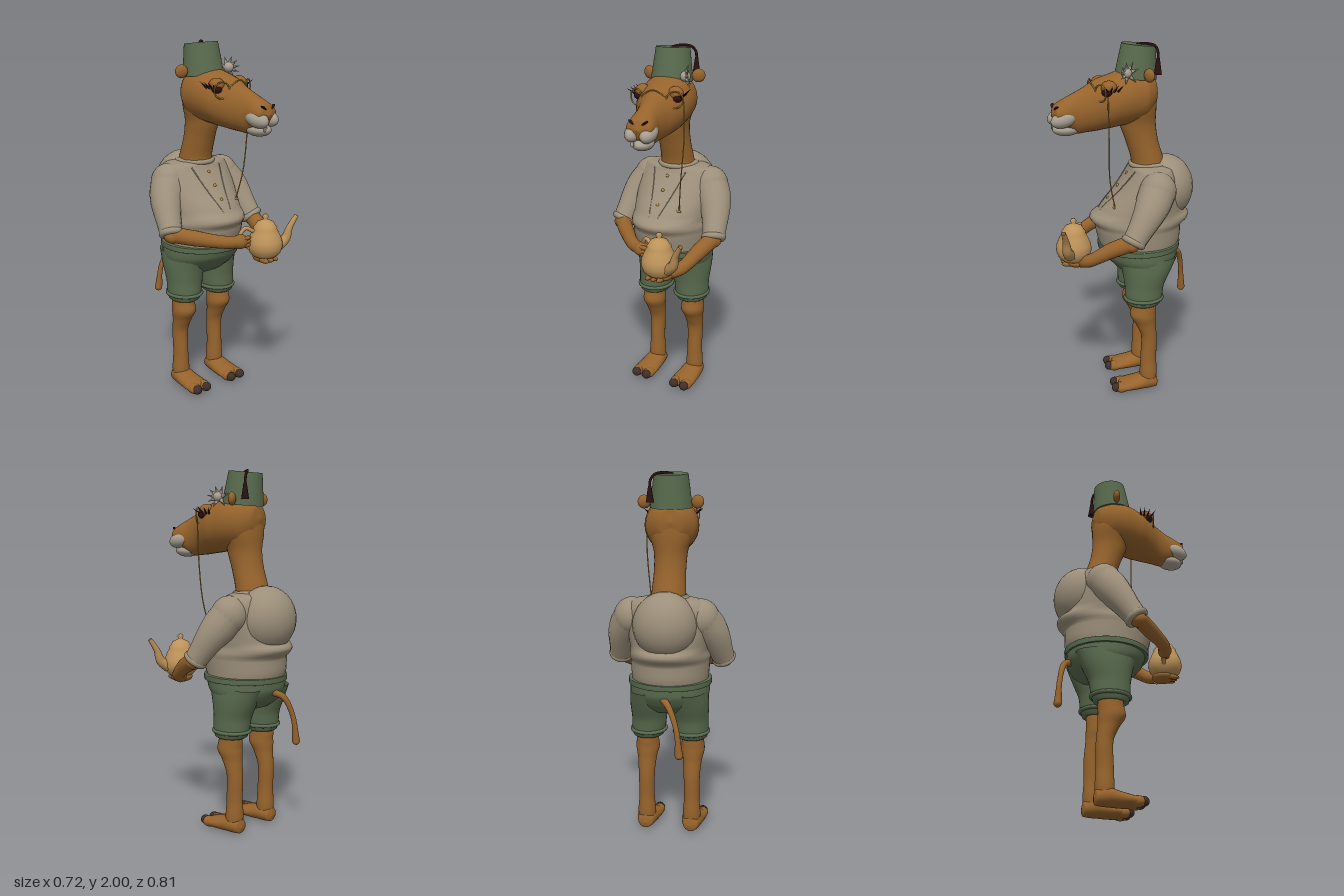
import * as THREE from 'three';

const V = (p) => new THREE.Vector3(...p);
const paint = (name, color, side = THREE.FrontSide) => {
  const m = new THREE.MeshStandardMaterial({ color, side });
  m.name = name;
  return m;
};

// Smooth body through elliptical rings [t, a, b, ra, rb].
// axis 'y': rings at (a, t, b); axis 'z': rings at (a, b, t)
function loft(rings, axis = 'y', seg = 32, steps = 6) {
  const path = new THREE.CatmullRomCurve3(rings.map((r) => V([r[1], r[0], r[2]])));
  const size = new THREE.CatmullRomCurve3(rings.map((r) => V([r[3], r[4], 0])));
  const n = (rings.length - 1) * steps, pos = [], idx = [];
  for (let i = 0; i <= n; i++) {
    const c = path.getPoint(i / n), s = size.getPoint(i / n);
    for (let j = 0; j < seg; j++) {
      const t = (j / seg) * Math.PI * 2;
      const a = c.x + Math.max(s.x, 0) * Math.cos(t), b = c.z + Math.max(s.y, 0) * Math.sin(t);
      if (axis === 'y') pos.push(a, c.y, b); else pos.push(a, b, c.y);
      if (i === n) continue;
      const p = i * seg + j, q = i * seg + ((j + 1) % seg);
      if (axis === 'y') idx.push(p, p + seg, q, q, p + seg, q + seg);
      else idx.push(p, q, p + seg, q, q + seg, p + seg);
    }
  }
  const g = new THREE.BufferGeometry();
  g.setAttribute('position', new THREE.Float32BufferAttribute(pos, 3));
  g.setIndex(idx);
  g.computeVertexNormals();
  return g;
}

// Tube whose radius follows a list of values along its length
function limb(points, radii, seg = 24, sides = 18) {
  const curve = new THREE.CatmullRomCurve3(points.map(V));
  const g = new THREE.TubeGeometry(curve, seg, 1, sides, false);
  const p = g.attributes.position, v = new THREE.Vector3();
  for (let i = 0; i < p.count; i++) {
    const u = Math.floor(i / (sides + 1)) / seg, k = u * (radii.length - 1);
    const f = Math.min(Math.floor(k), radii.length - 2);
    const r = THREE.MathUtils.lerp(radii[f], radii[f + 1], k - f), c = curve.getPointAt(u);
    v.fromBufferAttribute(p, i).sub(c).multiplyScalar(r).add(c);
    p.setXYZ(i, v.x, v.y, v.z);
  }
  return g;
}

export function createModel() {
  const root = new THREE.Group();
  const fur = paint('fur brown', 0x96632c, THREE.DoubleSide);
  const shirt = paint('shirt linen', 0x9c8f7a, THREE.DoubleSide);
  const green = paint('cloth green', 0x596b4e, THREE.DoubleSide);
  const pale = paint('pale muzzle', 0xa89f92);
  const dark = paint('tassel maroon', 0x2c1012);
  const gold = paint('gold', 0xb8903f);
  const clay = paint('teapot tan', 0xbd935a, THREE.DoubleSide);
  const horn = paint('hoof dark', 0x3e2f28);

  const add = (parent, name, geo, mat, pos = [0, 0, 0], rot = [0, 0, 0]) => {
    const m = new THREE.Mesh(geo, mat);
    m.name = name;
    m.position.set(...pos);
    m.rotation.set(...rot);
    parent.add(m);
    return m;
  };
  const ball = (parent, name, mat, pos, size, rot) => {
    const m = add(parent, name, new THREE.SphereGeometry(1, 24, 16), mat, pos, rot);
    m.scale.set(...size);
    return m;
  };
  const spike = (parent, name, mat, from, dir, r, len) => {
    const d = V(dir).normalize();
    const m = add(parent, name, new THREE.ConeGeometry(r, len, 8), mat, V(from).addScaledVector(d, len / 2).toArray());
    m.quaternion.setFromUnitVectors(V([0, 1, 0]), d);
  };

  // Shirt body and hump
  const body = [
    [0.86, -0.01, -0.1, 0.21, 0.218], [0.92, -0.01, -0.1, 0.215, 0.235], [1.0, -0.01, -0.095, 0.22, 0.245],
    [1.08, -0.01, -0.11, 0.22, 0.245], [1.2, -0.01, -0.145, 0.235, 0.18], [1.29, -0.01, -0.165, 0.232, 0.135],
    [1.33, -0.01, -0.165, 0.2, 0.115], [1.345, -0.01, -0.16, 0.11, 0.09], [1.345, -0.01, -0.16, 0.01, 0.01],
  ];
  add(root, 'shirtBody', loft(body), shirt);
  ball(root, 'hump', shirt, [-0.01, 1.205, -0.25], [0.175, 0.18, 0.157]);
  add(root, 'collar', new THREE.TorusGeometry(0.1, 0.014, 10, 36), shirt, [-0.01, 1.34, -0.155], [Math.PI / 2, 0, 0]);
  const chest = (x, y) => {
    const k = Math.max(1, body.findIndex((r) => r[0] >= y)), a = body[k - 1], b = body[k];
    const f = (y - a[0]) / (b[0] - a[0]), [, cx, cz, rx, rz] = a.map((n, i) => n + (b[i] - n) * f);
    return [x, y, cz + rz * Math.sqrt(1 - ((x - cx) / rx) ** 2)];
  };
  for (const y of [1.29, 1.22, 1.15]) ball(root, 'shirtButton', gold, chest(-0.01, y), [0.009, 0.009, 0.008]);
  for (const s of [1, -1]) {
    const pts = [0, 0.25, 0.5, 0.75, 1].map((t) => chest(-0.01 + s * (0.1 - 0.096 * t), 1.32 - 0.3 * t));
    add(root, 'lapelSeam', limb(pts, [0.003, 0.003], 20, 6), shirt);
  }

  // Shorts
  add(root, 'shortsHips', loft([
    [0.89, -0.01, -0.1, 0.22, 0.225], [0.82, -0.01, -0.11, 0.222, 0.21], [0.76, -0.01, -0.12, 0.2, 0.165],
    [0.71, -0.01, -0.12, 0.14, 0.1], [0.69, -0.01, -0.12, 0.0, 0.0],
  ].reverse()), green);
  add(root, 'waistband', loft([
    [0.858, -0.01, -0.1, 0.21, 0.212], [0.862, -0.01, -0.1, 0.231, 0.233],
    [0.89, -0.01, -0.1, 0.231, 0.235], [0.895, -0.01, -0.1, 0.205, 0.21],
  ]), green);

  for (const s of [1, -1]) {
    const side = s > 0 ? 'left' : 'right', x = -0.01 + s * 0.115, lx = -0.01 + s * 0.13;
    add(root, side + 'ShortsLeg', loft([
      [0.58, x + s * 0.008, -0.108, 0.03, 0.03], [0.58, x + s * 0.008, -0.108, 0.092, 0.103],
      [0.66, x + s * 0.003, -0.112, 0.098, 0.112], [0.75, x, -0.125, 0.105, 0.14], [0.83, x, -0.13, 0.1, 0.17],
    ]), green);
    add(root, side + 'ShortsHem', new THREE.TorusGeometry(0.094, 0.011, 10, 32), green,
      [x + s * 0.006, 0.585, -0.108], [Math.PI / 2, 0, 0]).scale.y = 1.1;

    // Leg with knee, foot and two toes
    add(root, side + 'Leg', loft([
      [0.03, lx, -0.135, 0.045, 0.045], [0.1, lx, -0.138, 0.05, 0.05], [0.2, lx, -0.138, 0.043, 0.046],
      [0.34, lx, -0.14, 0.046, 0.045], [0.42, lx, -0.12, 0.054, 0.058], [0.48, lx, -0.103, 0.066, 0.074],
      [0.53, lx, -0.108, 0.062, 0.07], [0.6, lx, -0.11, 0.06, 0.065],
    ]), fur);
    add(root, side + 'Foot', loft([
      [-0.195, lx, 0.04, 0, 0], [-0.185, lx, 0.045, 0.04, 0.038], [-0.13, lx, 0.052, 0.058, 0.05],
      [-0.06, lx, 0.042, 0.066, 0.041], [0.0, lx, 0.035, 0.07, 0.033], [0.035, lx, 0.03, 0.06, 0.026], [0.045, lx, 0.03, 0, 0],
    ], 'z'), fur);
    for (const t of [1, -1]) {
      ball(root, side + 'Toe', fur, [lx + t * 0.034, 0.032, 0.025], [0.035, 0.03, 0.045]);
      ball(root, side + 'Hoof', horn, [lx + t * 0.034, 0.034, 0.058], [0.028, 0.026, 0.027]);
    }

    // Sleeve with rolled cuff
    const X = (v) => s * v;
    add(root, side + 'Sleeve', limb([[X(0.19), 1.235, -0.165], [X(0.25), 1.14, -0.11], [X(0.295), 0.99, -0.015]],
      [0.1, 0.097, 0.083, 0.07, 0.062]), shirt);
    ball(root, side + 'Shoulder', shirt, [X(0.19), 1.235, -0.165], [0.1, 0.105, 0.1]);
    const cuff = add(root, side + 'Cuff', new THREE.TorusGeometry(0.05, 0.019, 12, 28), shirt, [X(0.294), 0.99, -0.012]);
    cuff.quaternion.setFromUnitVectors(V([0, 0, 1]), V([X(0.25), -0.8, 0.5]).normalize());
    ball(root, side + 'Elbow', fur, [X(0.295), 0.975, 0.0], [0.047, 0.04, 0.047]);
  }

  // Forearms and hands
  add(root, 'rightForearm', limb([[-0.295, 0.985, 0], [-0.2, 0.965, 0.1], [-0.09, 0.948, 0.205], [-0.02, 0.945, 0.24]],
    [0.044, 0.043, 0.036, 0.034]), fur);
  ball(root, 'rightHand', fur, [-0.015, 0.945, 0.24], [0.045, 0.04, 0.038]);
  add(root, 'leftForearm', limb([[0.295, 0.985, 0], [0.265, 0.94, 0.1], [0.215, 0.87, 0.21], [0.16, 0.845, 0.25]],
    [0.046, 0.044, 0.036, 0.034]), fur);
  ball(root, 'leftHand', fur, [0.13, 0.84, 0.275], [0.065, 0.03, 0.06]);
  for (let i = 0; i < 3; i++) {
    ball(root, 'leftFinger', fur, [0.085 + i * 0.035, 0.835, 0.32], [0.016, 0.015, 0.04]);
    ball(root, 'rightFinger', fur, [0.012, 0.965 - i * 0.02, 0.262], [0.028, 0.012, 0.014]);
  }

  // Teapot
  const pot = new THREE.Group();
  pot.name = 'teapot';
  pot.position.set(0.125, 0.85, 0.288);
  pot.rotation.y = -0.4;
  root.add(pot);
  const profile = [[0, 0], [0.065, 0], [0.085, 0.02], [0.098, 0.055], [0.094, 0.09], [0.077, 0.13], [0.064, 0.155],
    [0.066, 0.162], [0.058, 0.17], [0.046, 0.192], [0.018, 0.204], [0.01, 0.21], [0.018, 0.222], [0.01, 0.235], [0, 0.237]];
  add(pot, 'potBody', new THREE.LatheGeometry(profile.map((p) => new THREE.Vector2(...p)), 36), clay);
  add(pot, 'spout', limb([[0.075, 0.05, 0], [0.12, 0.085, 0], [0.145, 0.15, 0], [0.185, 0.215, 0]],
    [0.034, 0.026, 0.017, 0.012], 24, 14), clay);
  add(pot, 'potHandle', limb([[-0.07, 0.145, 0], [-0.115, 0.165, 0], [-0.145, 0.13, 0], [-0.13, 0.08, 0], [-0.085, 0.045, 0]],
    [0.011, 0.011], 24, 10), clay);

  // Tail
  add(root, 'tail', limb([[-0.01, 0.81, -0.3], [-0.05, 0.78, -0.345], [-0.095, 0.67, -0.375], [-0.112, 0.53, -0.385]],
    [0.02, 0.016, 0.014, 0.015, 0.022]), fur);
  ball(root, 'tailTip', fur, [-0.112, 0.53, -0.385], [0.022, 0.022, 0.022]);

  // Neck
  add(root, 'neck', loft([
    [1.3, -0.01, -0.155, 0.1, 0.1], [1.37, -0.01, -0.145, 0.093, 0.09], [1.47, -0.01, -0.115, 0.087, 0.09],
    [1.57, -0.01, -0.09, 0.09, 0.1], [1.68, -0.01, -0.082, 0.115, 0.11], [1.8, -0.01, -0.085, 0.1, 0.1],
  ]), fur);

  // Head, turned a little to its left
  const head = new THREE.Group();
  head.name = 'head';
  head.position.set(-0.01, 0, -0.08);
  head.rotation.y = 0.14;
  root.add(head);
  add(head, 'skull', loft([
    [-0.115, 0, 1.74, 0, 0], [-0.1, 0, 1.735, 0.07, 0.075], [-0.03, 0, 1.722, 0.135, 0.135], [0.07, 0, 1.715, 0.149, 0.148],
    [0.15, 0, 1.698, 0.143, 0.143], [0.22, 0, 1.682, 0.115, 0.137], [0.28, 0, 1.662, 0.085, 0.123],
    [0.34, 0, 1.645, 0.072, 0.11], [0.4, 0, 1.645, 0.074, 0.08], [0.45, 0, 1.645, 0.068, 0.05], [0.47, 0, 1.645, 0, 0],
  ], 'z'), fur);
  ball(head, 'lowerLip', pale, [0, 1.562, 0.39], [0.056, 0.036, 0.075]);
  add(head, 'tooth', new THREE.BoxGeometry(0.018, 0.025, 0.008), pale, [-0.03, 1.572, 0.458]);
  for (const s of [1, -1]) {
    ball(head, 'upperLip', pale, [s * 0.041, 1.622, 0.412], [0.044, 0.044, 0.072], [0.25, 0, 0]);
    ball(head, 'nostril', dark, [s * 0.036, 1.682, 0.45], [0.021, 0.006, 0.012], [0, 0, s * 0.6]);
    ball(head, 'ear', fur, [s * 0.142, 1.845, -0.025], [0.036, 0.036, 0.02], [0, s * 0.4, s * 0.5]);
    ball(head, 'brow', fur, [s * 0.092, 1.785, 0.18], [0.042, 0.036, 0.042]);
    ball(head, 'eye', dark, [s * 0.107, 1.763, 0.195], [0.028, 0.022, 0.028]);
    for (let i = 0; i < 4; i++) {
      spike(head, 'eyelash', dark, [s * 0.125, 1.768, 0.2 - i * 0.02], [s, 0.7 + i * 0.15, 0.4 - i * 0.35], 0.006, 0.055);
    }
    add(head, 'lensRim', new THREE.TorusGeometry(0.043, 0.004, 8, 32), gold, [s * 0.107, 1.76, 0.23], [0, s * 0.42, 0]);
  }
  add(head, 'noseBridge', limb([[-0.07, 1.775, 0.247], [0, 1.81, 0.262], [0.07, 1.775, 0.247]], [0.004, 0.004], 16, 8), gold);

  // Hat with tassel
  add(head, 'hat', new THREE.CylinderGeometry(0.092, 0.114, 0.175, 40), green, [0, 1.904, -0.005], [-0.1, 0, 0]);
  add(head, 'tasselCord', limb([[0, 1.992, -0.015], [0.03, 1.996, -0.045], [0.08, 1.988, -0.078], [0.103, 1.96, -0.085],
    [0.107, 1.92, -0.085]], [0.007, 0.007], 24, 8), dark);
  ball(head, 'tasselButton', dark, [0, 1.99, -0.015], [0.014, 0.008, 0.014]);
  add(head, 'tassel', new THREE.CylinderGeometry(0.009, 0.021, 0.085, 14), dark, [0.107, 1.885, -0.085]);

  // Pale blossom beside the hat
  for (let i = 0; i < 8; i++) {
    const a = (i / 8) * Math.PI * 2;
    spike(head, 'petal', pale, [0.105, 1.855, 0.085],
      [0.5 + Math.cos(a) * 0.5, 0.25 + Math.sin(a), 0.25 + Math.cos(a)], 0.017, 0.068);
  }
  ball(head, 'blossomHeart', pale, [0.11, 1.858, 0.09], [0.028, 0.028, 0.028]);

  // Spectacle chain with its clip on the chest
  const clip = chest(0.115, 1.13);
  add(root, 'chain', limb([[0.165, 1.75, 0.1], [0.163, 1.55, 0.095], [0.14, 1.3, 0.088], clip], [0.0035, 0.0035], 32, 6), gold);
  add(root, 'chainClip', new THREE.CapsuleGeometry(0.006, 0.045, 4, 8), gold, [clip[0] - 0.015, clip[1], clip[2] + 0.005], [0, 0, Math.PI / 2]);
  return root;
}
